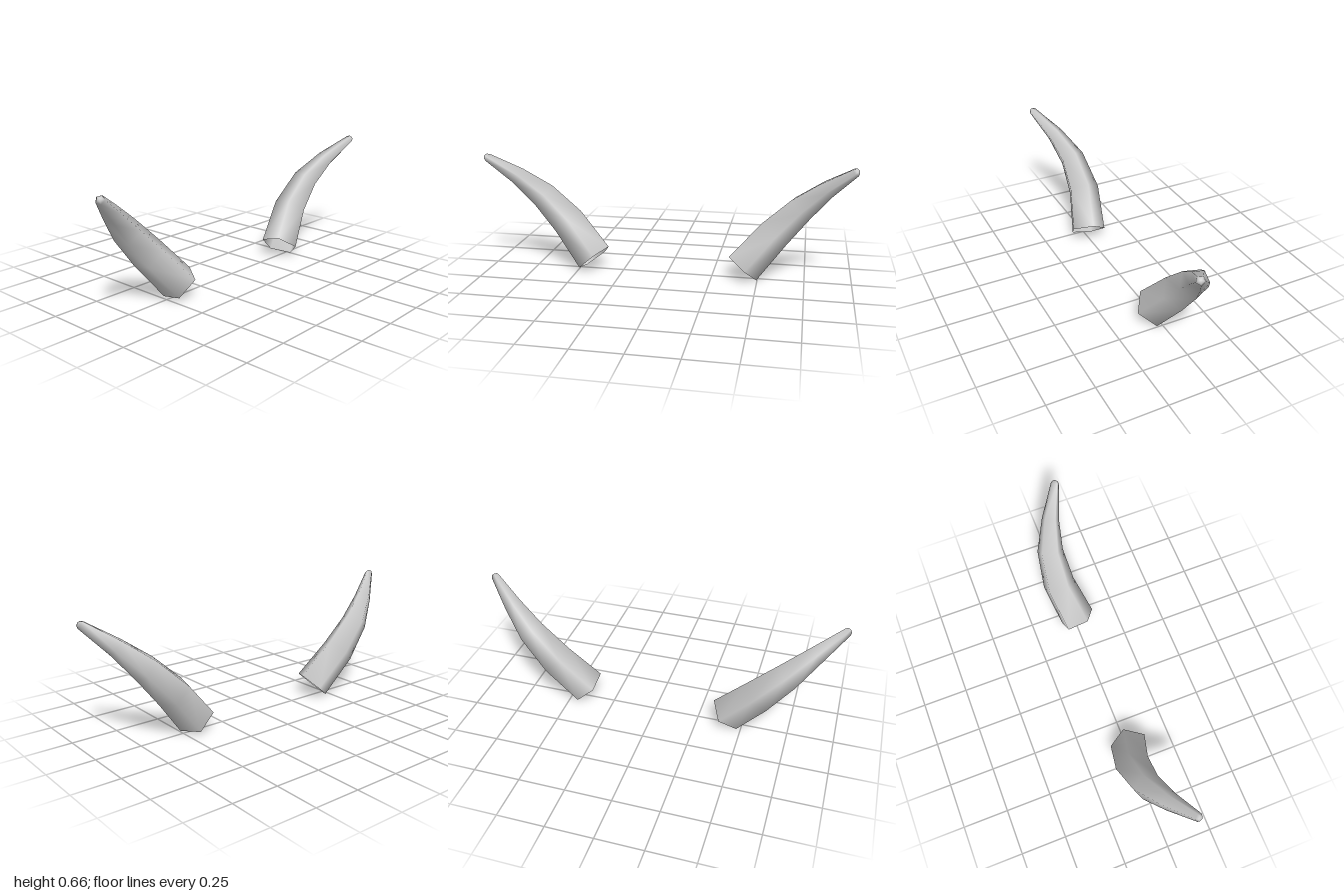
import * as THREE from 'three';

// Rings from base to tip for the +x horn: centre x, y, z and radius
const RINGS = [
  [0.415, 0.065, 0.01, 0.105],
  [0.575, 0.255, -0.038, 0.095],
  [0.715, 0.405, -0.03, 0.076],
  [0.84, 0.525, 0.025, 0.05],
  [0.975, 0.64, 0.108, 0.023],
  [0.983, 0.648, 0.114, 0.015],
];
const SIDES = 5;

// Five-sided smooth horn, open at the base; side is +1 or -1, twist turns its corners
function hornGeometry(side, twist) {
  const centres = RINGS.map(([x, y, z]) => new THREE.Vector3(x, y, z));
  const positions = [];
  const index = [];
  RINGS.forEach((ring, j) => {
    const next = centres[Math.min(j + 1, centres.length - 1)];
    const prev = centres[Math.max(j - 1, 0)];
    const tangent = next.clone().sub(prev).normalize();
    const outer = new THREE.Vector3(tangent.y, -tangent.x, 0).normalize();
    const front = tangent.clone().cross(outer).negate();
    if (front.z < 0) front.negate();
    for (let i = 0; i < SIDES; i++) {
      const a = twist + (i / SIDES) * Math.PI * 2;
      const p = centres[j].clone()
        .addScaledVector(outer, Math.cos(a) * ring[3])
        .addScaledVector(front, Math.sin(a) * ring[3]);
      positions.push(side * p.x, p.y, p.z);
    }
  });
  const tri = (a, b, c) => (side > 0 ? index.push(a, b, c) : index.push(a, c, b));
  for (let j = 0; j < RINGS.length - 1; j++) {
    for (let i = 0; i < SIDES; i++) {
      const k = (i + 1) % SIDES;
      const a = j * SIDES + i, b = j * SIDES + k;
      tri(a, a + SIDES, b);
      tri(b, a + SIDES, b + SIDES);
    }
  }
  // blunt tip
  const last = (RINGS.length - 1) * SIDES;
  positions.push(side * 0.986, 0.651, 0.116);
  for (let i = 0; i < SIDES; i++) tri(last + i, last + SIDES, last + ((i + 1) % SIDES));

  const geometry = new THREE.BufferGeometry();
  geometry.setAttribute('position', new THREE.Float32BufferAttribute(positions, 3));
  geometry.setIndex(index);
  geometry.computeVertexNormals();
  return geometry;
}

export function createModel() {
  const group = new THREE.Group();
  group.name = 'horns';
  const grey = new THREE.MeshStandardMaterial({ color: 0xcccccc, side: THREE.DoubleSide });
  grey.name = 'horn grey';

  const parts = [
    ['leftHorn', 1, 12],
    ['rightHorn', -1, 40],
  ];
  for (const [name, side, degrees] of parts) {
    const horn = new THREE.Mesh(hornGeometry(side, THREE.MathUtils.degToRad(degrees)), grey);
    horn.name = name;
    group.add(horn);
  }
  return group;
}
